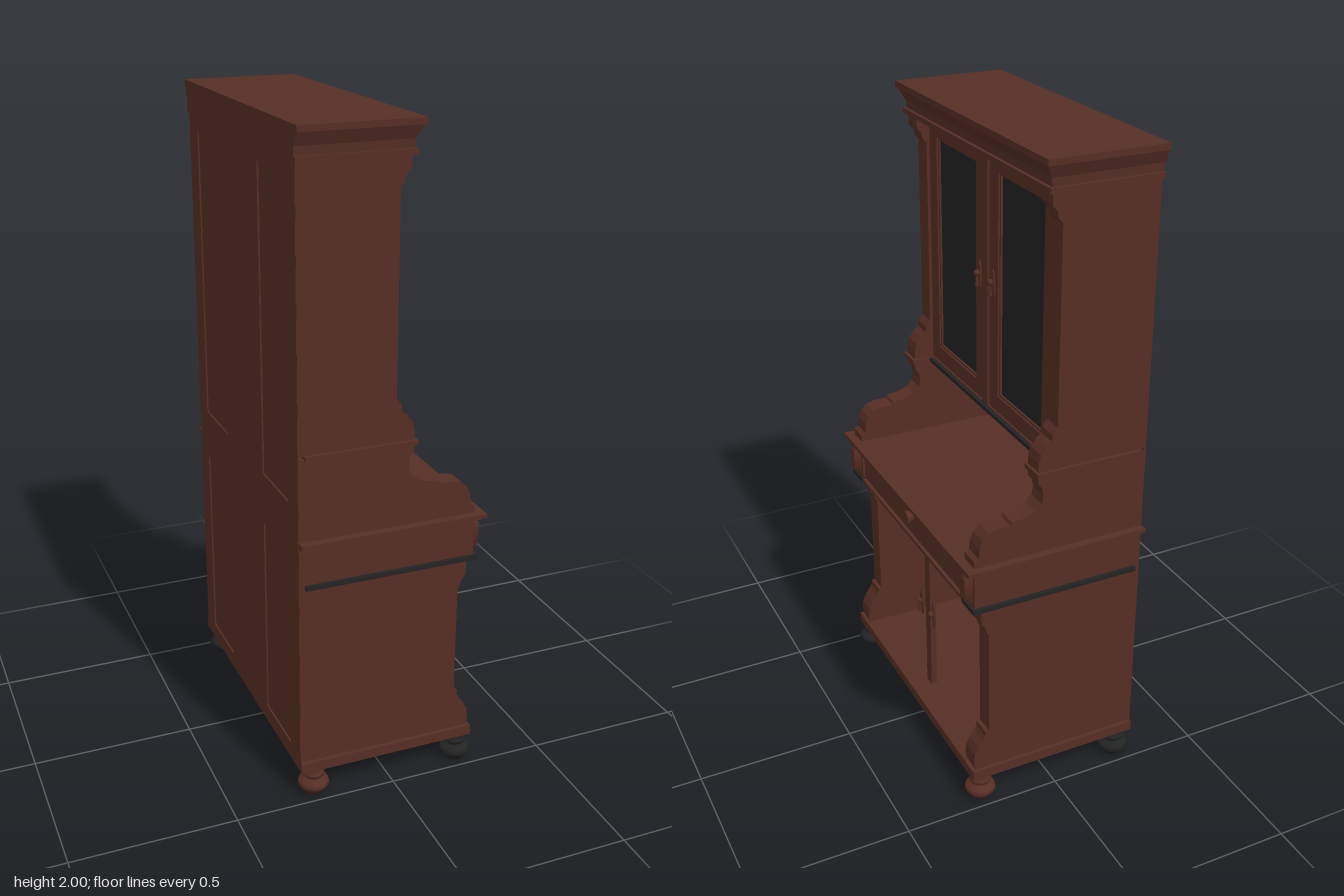
import * as THREE from 'three';

const wood = new THREE.MeshStandardMaterial({ color: 0x562e24 });
wood.name = 'dark reddish wood';
const black = new THREE.MeshStandardMaterial({ color: 0x232323 });
black.name = 'black';

export function createModel() {
  const model = new THREE.Group();
  const add = (name, geometry, material = wood) => {
    const mesh = new THREE.Mesh(geometry, material);
    mesh.name = name;
    model.add(mesh);
    return mesh;
  };
  // Box given by its limits on each axis
  const box = (name, x0, x1, y0, y1, z0, z1, material) => {
    const mesh = add(name, new THREE.BoxGeometry(x1 - x0, y1 - y0, Math.abs(z1 - z0)), material);
    mesh.position.set((x0 + x1) / 2, (y0 + y1) / 2, (z0 + z1) / 2);
    return mesh;
  };
  // Board whose upper edges flare to the front and sides, straight at the back
  const flare = (name, y0, y1, front0, front1, side0, side1) => {
    const g = new THREE.BoxGeometry(1, 1, 1);
    const p = g.attributes.position;
    for (let i = 0; i < p.count; i++) {
      const up = p.getY(i) > 0;
      p.setXYZ(i, p.getX(i) > 0 ? (up ? front1 : front0) : -0.293, up ? y1 : y0,
        Math.sign(p.getZ(i)) * (up ? side1 : side0));
    }
    g.computeVertexNormals();
    add(name, g);
  };
  // Side board cut to a front outline
  const sideBoard = (name, y0, y1, outline, s) => {
    const shape = new THREE.Shape();
    shape.moveTo(-0.288, y0);
    outline.forEach(([x, y]) => shape.lineTo(x, y));
    shape.lineTo(-0.288, y1);
    const g = new THREE.ExtrudeGeometry(shape, { depth: 0.063, bevelEnabled: false });
    add(name, g).position.z = s > 0 ? 0.402 : -0.465;
  };

  const lowerOutline = [[0.26, 0.12], [0.265, 0.145], [0.262, 0.175], [0.25, 0.2], [0.235, 0.22], [0.226, 0.235],
    [0.226, 0.25], [0.215, 0.255], [0.215, 0.605], [0.222, 0.615], [0.227, 0.632], [0.24, 0.65], [0.24, 0.7]];
  const deskOutline = [[0.262, 0.845], [0.262, 0.868], [0.248, 0.875], [0.245, 0.905], [0.235, 0.93], [0.215, 0.95],
    [0.19, 0.957], [0.148, 0.958], [0.143, 0.967], [0.1, 0.972], [0.07, 0.985], [0.05, 1.005], [0.045, 1.03],
    [0.05, 1.055], [0.062, 1.07], [0.062, 1.095]];
  const upperOutline = [[0.062, 1.105], [0.062, 1.135], [0.055, 1.16], [0.04, 1.18], [0.022, 1.195], [0.02, 1.215],
    [0.005, 1.235], [0.005, 1.82], [0.018, 1.835], [0.022, 1.855], [0.036, 1.87], [0.038, 1.907]];

  // Pull made of an oval plate, a knob and a small drop
  const handle = (x, y, z) => {
    const plate = add('handlePlate', new THREE.SphereGeometry(1, 14, 10));
    plate.scale.set(0.006, 0.048, 0.013);
    plate.position.set(x, y, z);
    const knob = add('handleKnob', new THREE.SphereGeometry(0.01, 12, 8));
    knob.position.set(x + 0.009, y + 0.008, z);
    const drop = add('handleDrop', new THREE.CylinderGeometry(0.003, 0.006, 0.035, 8));
    drop.position.set(x + 0.009, y - 0.015, z);
  };

  // Turned foot profile
  const footProfile = [[0, 0], [0.026, 0], [0.029, 0.012], [0.042, 0.018], [0.048, 0.03], [0.044, 0.042], [0.024, 0.047],
    [0.022, 0.054], [0.033, 0.06], [0.033, 0.068], [0.025, 0.073], [0.028, 0.088]].map(p => new THREE.Vector2(...p));

  for (const s of [1, -1]) {
    sideBoard('lowerSide', 0.12, 0.7, lowerOutline, s);
    sideBoard('deskSide', 0.845, 1.095, deskOutline, s);
    sideBoard('upperSide', 1.105, 1.907, upperOutline, s);
    box('drawerSide', -0.288, 0.262, 0.7, 0.832, s * 0.402, s * 0.465);

    // Bevelled block on each drawer post
    const block = add('postBlock', new THREE.CylinderGeometry(0.7071 * 0.7, 0.7071, 1, 4, 1).rotateY(Math.PI / 4).rotateZ(-Math.PI / 2));
    block.scale.set(0.025, 0.095, 0.046);
    block.position.set(0.273, 0.77, s * 0.434);

    // Side mouldings
    box('middleSideMoulding', -0.27, 0.07, 1.092, 1.106, s * 0.395, s * 0.476);
    box('lowerSideMoulding', -0.27, 0.27, 0.696, 0.71, s * 0.395, s * 0.476, black);

    // Glazed upper door
    box('doorOuterStile', -0.03, -0.005, 1.108, 1.907, s * 0.35, s * 0.402);
    box('doorInnerStile', -0.03, -0.005, 1.108, 1.907, s * 0.018, s * 0.073);
    box('doorBottomRail', -0.03, -0.005, 1.108, 1.16, s * 0.073, s * 0.35);
    box('doorTopRail', -0.03, -0.005, 1.85, 1.907, s * 0.073, s * 0.35);
    box('doorGlass', -0.022, -0.016, 1.16, 1.85, s * 0.073, s * 0.35, black);
    for (const z of [0.073, 0.343]) box('glassBead', -0.02, -0.01, 1.16, 1.85, s * z, s * (z + 0.007));
    for (const y of [1.16, 1.843]) box('glassBead', -0.02, -0.01, y, y + 0.007, s * 0.08, s * 0.343);

    handle(-0.003, 1.51, s * 0.045);
    handle(0.208, 0.41, s * 0.045);

    for (const x of [-0.24, 0.235]) {
      add('foot', new THREE.LatheGeometry(footProfile, 20), x * s > 0 ? black : wood).position.set(x, 0, s * 0.444);
    }
  }

  // Base, lower compartment and centre posts
  box('baseBoard', -0.288, 0.272, 0.086, 0.118, -0.475, 0.475);
  box('lowerCentrePost', 0.188, 0.208, 0.118, 0.7, -0.018, 0.018);
  box('upperCentrePost', -0.03, 0.002, 1.108, 1.907, -0.018, 0.018);

  // Drawer and writing top
  box('drawer', -0.27, 0.255, 0.705, 0.832, -0.402, 0.402);
  box('lowerFrontMoulding', 0.24, 0.266, 0.697, 0.708, -0.402, 0.402);
  const knob = add('drawerKnob', new THREE.CylinderGeometry(0.024, 0.016, 0.024, 10).rotateZ(-Math.PI / 2));
  knob.position.set(0.266, 0.77, 0);
  box('writingTop', -0.288, 0.291, 0.835, 0.846, -0.49, 0.49);
  box('writingTopUnderside', -0.288, 0.28, 0.826, 0.835, -0.48, 0.48);

  // Upper cupboard floor and its front edge
  box('cupboardFloor', -0.27, 0.0, 1.09, 1.108, -0.402, 0.402);
  box('cupboardFrontMoulding', -0.01, 0.012, 1.093, 1.105, -0.402, 0.402, black);

  // Cornice
  flare('corniceBead', 1.905, 1.92, 0.05, 0.05, 0.476, 0.476);
  flare('corniceNeck', 1.92, 1.945, 0.04, 0.043, 0.466, 0.468);
  flare('corniceFlare', 1.945, 1.982, 0.044, 0.062, 0.47, 0.487);
  flare('corniceTop', 1.982, 2.0, 0.067, 0.067, 0.491, 0.491);

  // Back board with a raised frame around four sunken panels
  box('backBoard', -0.284, -0.268, 0.118, 1.907, -0.402, 0.402);
  box('backCentreStile', -0.289, -0.283, 0.118, 1.907, -0.17, 0.17);
  for (const s of [1, -1]) {
    box('backOuterStile', -0.289, -0.283, 0.118, 1.907, s * 0.385, s * 0.464);
    for (const [y0, y1] of [[0.118, 0.14], [0.78, 0.94], [1.86, 1.907]]) {
      box('backRail', -0.289, -0.283, y0, y1, s * 0.17, s * 0.385);
    }
  }
  return model;
}
